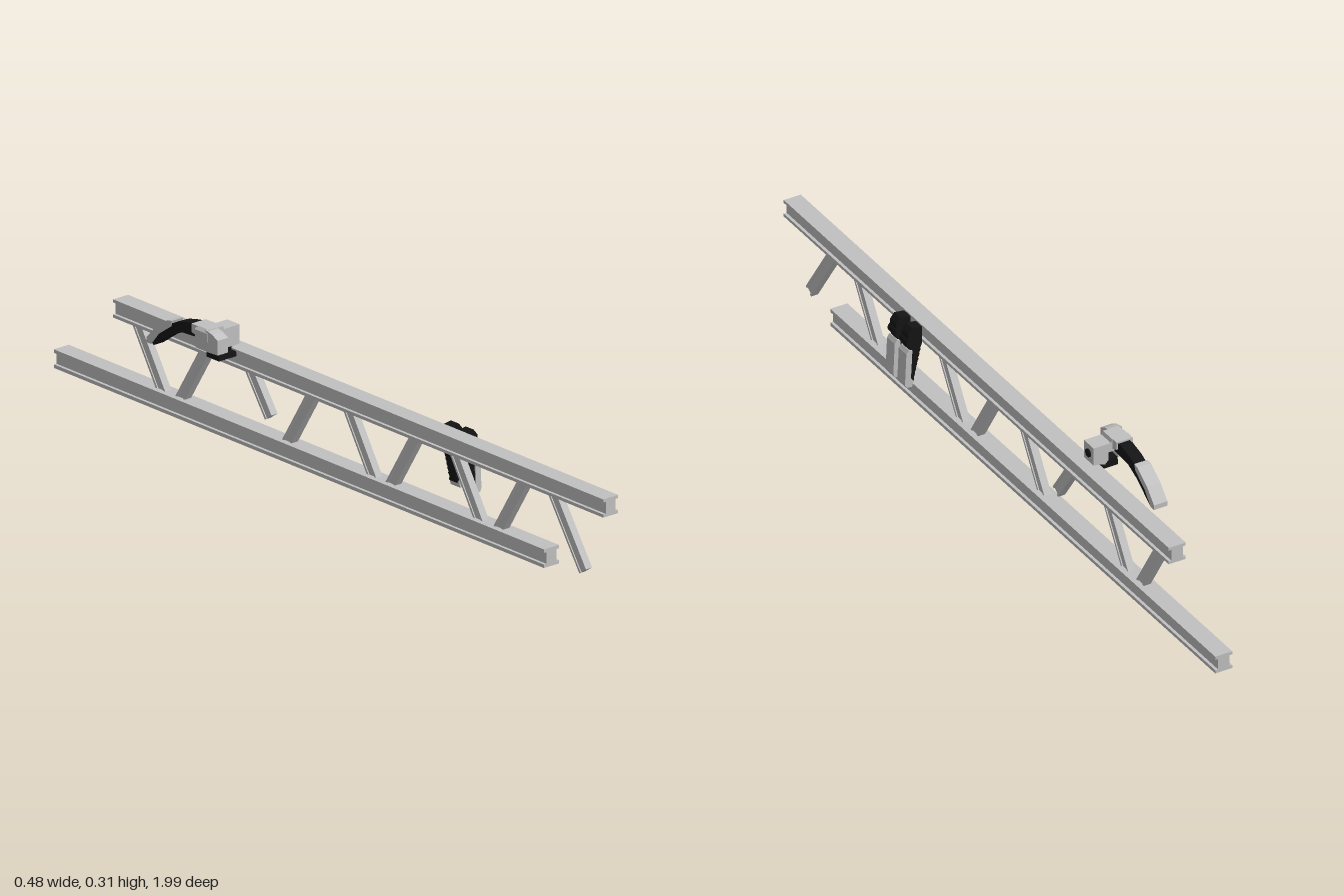
import * as THREE from 'three';

const steel = new THREE.MeshStandardMaterial({ color: 0xc0c0c0 });
steel.name = 'light grey steel';
const black = new THREE.MeshStandardMaterial({ color: 0x141414 });
black.name = 'black joint';

function add(parent, name, geometry, material, x = 0, y = 0, z = 0) {
  const mesh = new THREE.Mesh(geometry, material);
  mesh.name = name;
  mesh.position.set(x, y, z);
  parent.add(mesh);
  return mesh;
}

// Extrudes an outline centred along its depth
function slab(points, depth) {
  const shape = new THREE.Shape(points.map(([a, b]) => new THREE.Vector2(a, b)));
  const geometry = new THREE.ExtrudeGeometry(shape, { depth, bevelEnabled: false });
  return geometry.translate(0, 0, -depth / 2);
}

// Outline given as (z, y), extruded across x
const sideSlab = (points, width) => slab(points, width).rotateY(-Math.PI / 2);

// I-section running along z: w wide, h high, t flange, s inset of the web
function iBeam(w, h, t, s, length) {
  const a = w / 2, b = h / 2, c = a - s, d = b - t;
  return slab([
    [-a, -b], [a, -b], [a, -d], [c, -d], [c, d], [a, d],
    [a, b], [-a, b], [-a, d], [-c, d], [-c, -d], [-a, -d],
  ], length);
}

// Diagonal brace between two (z, y) points
function brace(parent, z1, y1, z2, y2) {
  const dz = z2 - z1, dy = y2 - y1;
  const mesh = add(parent, 'brace', iBeam(0.02, 0.03, 0.006, 0.003, Math.hypot(dz, dy)),
    steel, 0, (y1 + y2) / 2, (z1 + z2) / 2);
  mesh.rotation.x = -Math.atan2(dy, dz);
}

// Hooked finger hanging on the left side of the upper rail
function hangingFinger(z) {
  const finger = new THREE.Group();
  finger.name = 'hangingFinger';
  finger.position.z = z;
  const outline = [[0.024, 0.236], [0.052, 0.24], [0.064, 0.225], [0.06, 0.175], [0.058, 0.09], [0.046, 0.088]];
  // ridged inner edge
  for (let i = 0; i < 7; i++) {
    const y = 0.098 + i * 0.013, x = 0.043 - i * 0.003;
    outline.push([x + 0.004, y], [x, y + 0.009]);
  }
  outline.push([0.024, 0.19]);
  add(finger, 'fingerPad', slab(outline, 0.029), black);
  add(finger, 'fingerShell', slab([
    [0.053, 0.178], [0.063, 0.182], [0.07, 0.172], [0.074, 0.085],
    [0.07, 0.076], [0.054, 0.074], [0.05, 0.09], [0.057, 0.1],
  ], 0.036), steel);
  const knuckle = add(finger, 'knuckle', new THREE.CylinderGeometry(0.013, 0.013, 0.036, 12),
    black, 0.056, 0.2, 0);
  knuckle.rotation.x = Math.PI / 2;
  return finger;
}

// Thumb-like clamp on the right side of the upper rail
function clampArm() {
  const arm = new THREE.Group();
  arm.name = 'clampArm';
  add(arm, 'clampFoot', new THREE.BoxGeometry(0.056, 0.014, 0.045), black, -0.05, 0.229, -0.365);
  add(arm, 'clampPivot', new THREE.BoxGeometry(0.048, 0.012, 0.035), black, -0.053, 0.241, -0.37);
  // forked bracket with an open notch
  add(arm, 'bracket', slab([
    [-0.105, 0.25], [-0.072, 0.25], [-0.072, 0.272], [-0.045, 0.272], [-0.045, 0.25],
    [-0.035, 0.24], [-0.02, 0.246], [-0.003, 0.248], [-0.003, 0.297], [-0.052, 0.297],
    [-0.056, 0.306], [-0.1, 0.306], [-0.108, 0.298],
  ], 0.045), steel, 0, 0, -0.375);
  add(arm, 'bracketNose', sideSlab([
    [-0.315, 0.252], [-0.315, 0.29], [-0.335, 0.3], [-0.36, 0.306], [-0.36, 0.25],
  ], 0.034), steel, -0.089, 0, 0);
  add(arm, 'bracketRoof', sideSlab([
    [-0.39, 0.276], [-0.39, 0.306], [-0.415, 0.306], [-0.415, 0.285],
  ], 0.046), steel, -0.08, 0, 0);
  const pin = add(arm, 'hingePin', new THREE.CylinderGeometry(0.011, 0.011, 0.008, 16), black, -0.003, 0.273, -0.375);
  pin.rotation.z = Math.PI / 2;
  // curved finger with a shell over its tip
  add(arm, 'curvedFinger', sideSlab([
    [-0.395, 0.3], [-0.43, 0.302], [-0.47, 0.293], [-0.51, 0.275], [-0.545, 0.25], [-0.575, 0.215],
    [-0.565, 0.205], [-0.53, 0.23], [-0.5, 0.25], [-0.46, 0.268], [-0.395, 0.272],
  ], 0.032), black, -0.078, 0, 0);
  add(arm, 'tipShell', sideSlab([
    [-0.495, 0.288], [-0.51, 0.286], [-0.555, 0.256], [-0.588, 0.22], [-0.588, 0.207],
    [-0.572, 0.207], [-0.545, 0.24], [-0.5, 0.272],
  ], 0.038), steel, -0.078, 0, 0);
  return arm;
}

export function createModel() {
  const model = new THREE.Group();
  model.name = 'girder';
  model.rotation.y = 0.2147;

  // Two parallel rails, staggered lengthwise
  add(model, 'lowerRail', iBeam(0.048, 0.048, 0.009, 0.008, 1.81), steel, 0, 0.024, -0.1095);
  add(model, 'upperRail', iBeam(0.048, 0.047, 0.008, 0.008, 1.81), steel, 0, 0.2165, 0.1095);

  // Braces: [z at the upper rail, z at the lower rail]
  const pairs = [[0.706, 0.606], [0.44, 0.54], [0.307, 0.207], [0.047, 0.147],
    [-0.075, -0.175], [-0.469, -0.569], [-0.732, -0.632]];
  for (const [zTop, zBottom] of pairs) brace(model, zTop, 0.202, zBottom, 0.04);
  // Braces with a loose lower end
  brace(model, 0.803, 0.202, 0.922, 0.024);
  brace(model, -0.317, 0.202, -0.239, 0.09);

  for (const z of [0.379, 0.434]) model.add(hangingFinger(z));
  model.add(clampArm());

  const root = new THREE.Group();
  root.name = 'model';
  root.add(model);
  return root;
}
